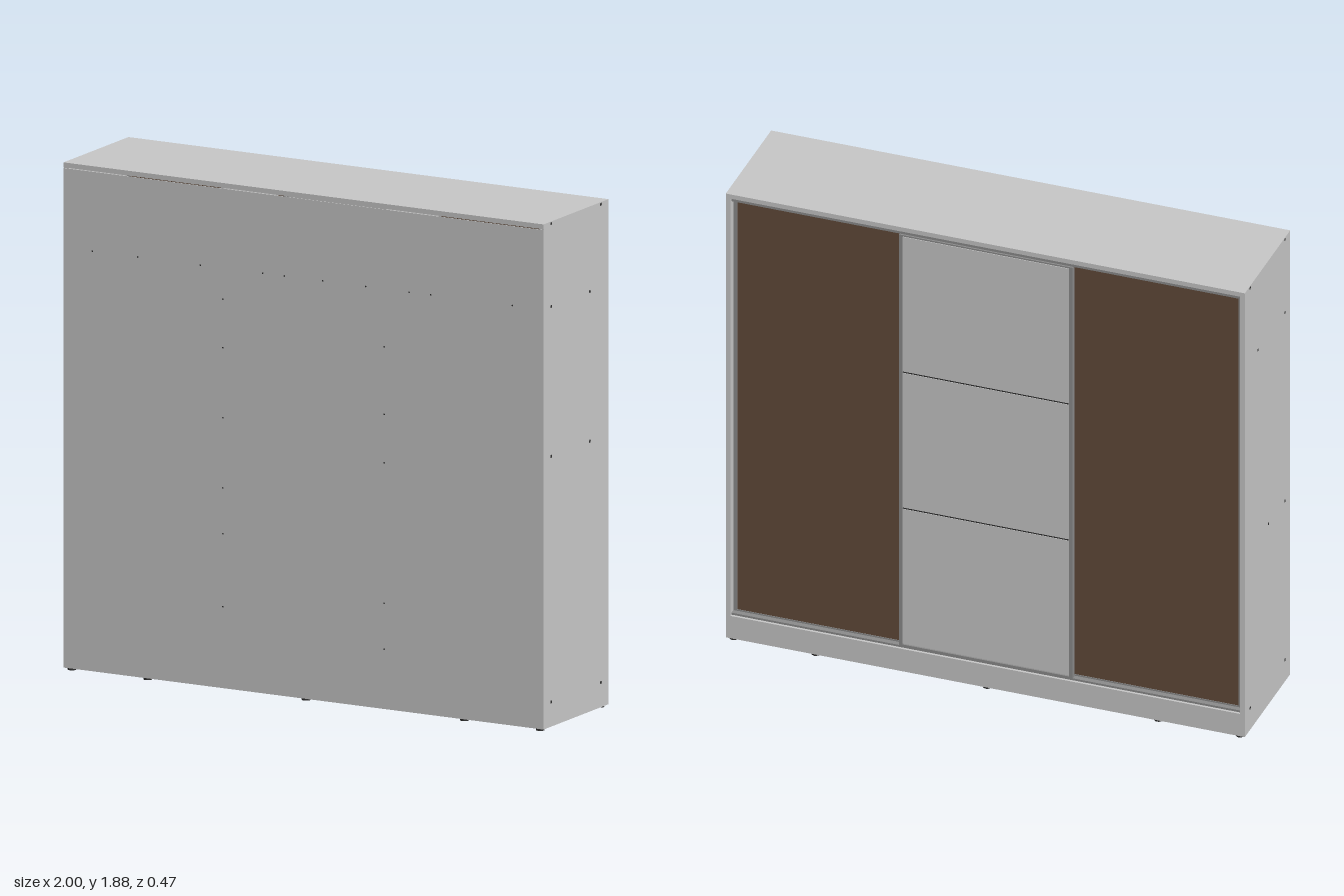
import * as THREE from 'three';

export function createModel() {
  const root = new THREE.Group();
  root.name = 'slidingDoorWardrobe';
  const mat = (name, color) => {
    const m = new THREE.MeshStandardMaterial({ color });
    m.name = name;
    return m;
  };
  const board = mat('light grey board', 0xc8c8c8);
  const brown = mat('brown door panel', 0x614a3a);
  const metal = mat('grey door frame', 0x8c8c8c);
  const dark = mat('dark fittings', 0x303030);

  // box given by its minimum and maximum corners
  const box = (name, material, x0, x1, y0, y1, z0, z1, parent = root) => {
    const m = new THREE.Mesh(new THREE.BoxGeometry(x1 - x0, y1 - y0, z1 - z0), material);
    m.name = name;
    m.position.set((x0 + x1) / 2, (y0 + y1) / 2, (z0 + z1) / 2);
    parent.add(m);
    return m;
  };

  const T = 0.018, B = 0.008, H = 1.88, D = 0.235, IN = 1 - T;

  // carcass: sides, top, floor, closing panel and plinth boards
  box('leftSide', board, IN, 1, B, H - 0.001, -D, D - 0.003);
  box('rightSide', board, -1, -IN, B, H - 0.001, -D, D - 0.003);
  box('topBoard', board, -1, 1, H - T, H, -D, D);
  box('floorBoard', board, -IN, IN, 0.084, 0.102, -D, D - 0.003);
  box('closingPanel', board, -1, 1, B, H - T - 0.003, D - 0.003, D);
  box('plinthDoorSide', board, -IN, IN, B, 0.084, -D, -D + T);
  box('plinthPanelSide', board, -IN, IN, B, 0.084, D - 0.003 - T, D - 0.003);

  // inner partitions and shelves
  const inFront = -0.15, inBack = D - 0.003;
  for (const s of [-1, 1]) {
    box('partition', board, s * 0.336 - T / 2, s * 0.336 + T / 2, 0.102, H - T, inFront, inBack);
  }
  for (const [x0, x1, y] of [[-IN, -0.345, 1.565], [-0.327, 0.327, 1.565], [0.345, IN, 1.565],
    [0.345, IN, 1.01], [-IN, -0.345, 0.77]]) {
    box('shelf', board, x0, x1, y - T / 2, y + T / 2, inFront, inBack);
  }

  // sliding rails above and below the doors
  box('topRail', metal, -IN, IN, H - T - 0.016, H - T, -0.225, -0.15);
  box('bottomRail', metal, -IN, IN, 0.102, 0.11, -0.225, -0.15);

  // framed sliding door; its face looks towards -z
  const Y0 = 0.112, Y1 = 1.845;
  const door = (name, x0, x1, z, material, panels, stile) => {
    const g = new THREE.Group();
    g.name = name;
    root.add(g);
    const h = (Y1 - Y0 - 0.012) / panels, gap = panels > 1 ? 0.003 : 0;
    for (let i = 0; i < panels; i++) {
      box('doorPanel', material, x0 + stile, x1 - stile,
        Y0 + 0.006 + i * h + gap, Y0 + 0.006 + (i + 1) * h - gap, z, z + 0.014, g);
      if (i) box('dividerStrip', dark, x0 + stile, x1 - stile,
        Y0 + 0.006 + i * h - gap, Y0 + 0.006 + i * h + gap, z + 0.002, z + 0.014, g);
    }
    box('stile', metal, x0, x0 + stile, Y0, Y1, z - 0.002, z + 0.016, g);
    box('stile', metal, x1 - stile, x1, Y0, Y1, z - 0.002, z + 0.016, g);
    box('lowerFrame', metal, x0 + stile, x1 - stile, Y0, Y0 + 0.006, z - 0.002, z + 0.016, g);
    box('upperFrame', metal, x0 + stile, x1 - stile, Y1 - 0.006, Y1, z - 0.002, z + 0.016, g);
  };
  door('leftDoor', 0.315, 0.98, -0.206, brown, 1, 0.014);
  door('rightDoor', -0.98, -0.315, -0.206, brown, 1, 0.014);
  door('middleDoor', -0.335, 0.335, -0.228, board, 3, 0.014);

  // screw heads, as thin discs on the outer faces
  const screwGeo = new THREE.CylinderGeometry(0.006, 0.006, 0.002, 10);
  const screw = (x, y, z, onSide, scale = 1) => {
    const m = new THREE.Mesh(screwGeo, dark);
    m.name = 'screwHead';
    m.position.set(x, y, z);
    if (onSide) m.rotation.z = Math.PI / 2;
    else m.rotation.x = Math.PI / 2;
    m.scale.set(scale, 1, scale);
    root.add(m);
  };
  for (const [y, z] of [[0.1, 0.18], [0.1, -0.18], [1.01, 0.18], [1.01, -0.1],
    [1.565, 0.18], [1.565, -0.1], [1.872, 0.18], [1.872, -0.18]]) screw(0.9995, y, z, true);
  for (const [y, z] of [[0.1, 0.18], [0.1, -0.18], [0.77, 0.18], [0.77, 0.01],
    [1.565, 0.18], [1.565, -0.1], [1.872, 0.18], [1.872, -0.18]]) screw(-0.9995, y, z, true);
  for (const y of [1.45, 1.27, 1.01, 0.75, 0.58, 0.31]) screw(-0.336, y, D - 0.0005, false, 0.5);
  for (const y of [1.35, 1.1, 0.92, 0.4, 0.23]) screw(0.336, y, D - 0.0005, false, 0.5);
  for (const x of [-0.88, -0.69, -0.43, -0.17, -0.08, 0.08, 0.26, 0.44, 0.53, 0.87]) {
    screw(x, 1.565, D - 0.0005, false, 0.5);
  }

  // low glides under the plinth
  const glideGeo = new THREE.CylinderGeometry(0.016, 0.016, B, 12);
  for (const x of [-0.975, -0.66, 0, 0.66, 0.975]) {
    for (const z of [-0.216, 0.216]) {
      const m = new THREE.Mesh(glideGeo, dark);
      m.name = 'glide';
      m.position.set(x, B / 2, z);
      root.add(m);
    }
  }
  return root;
}
